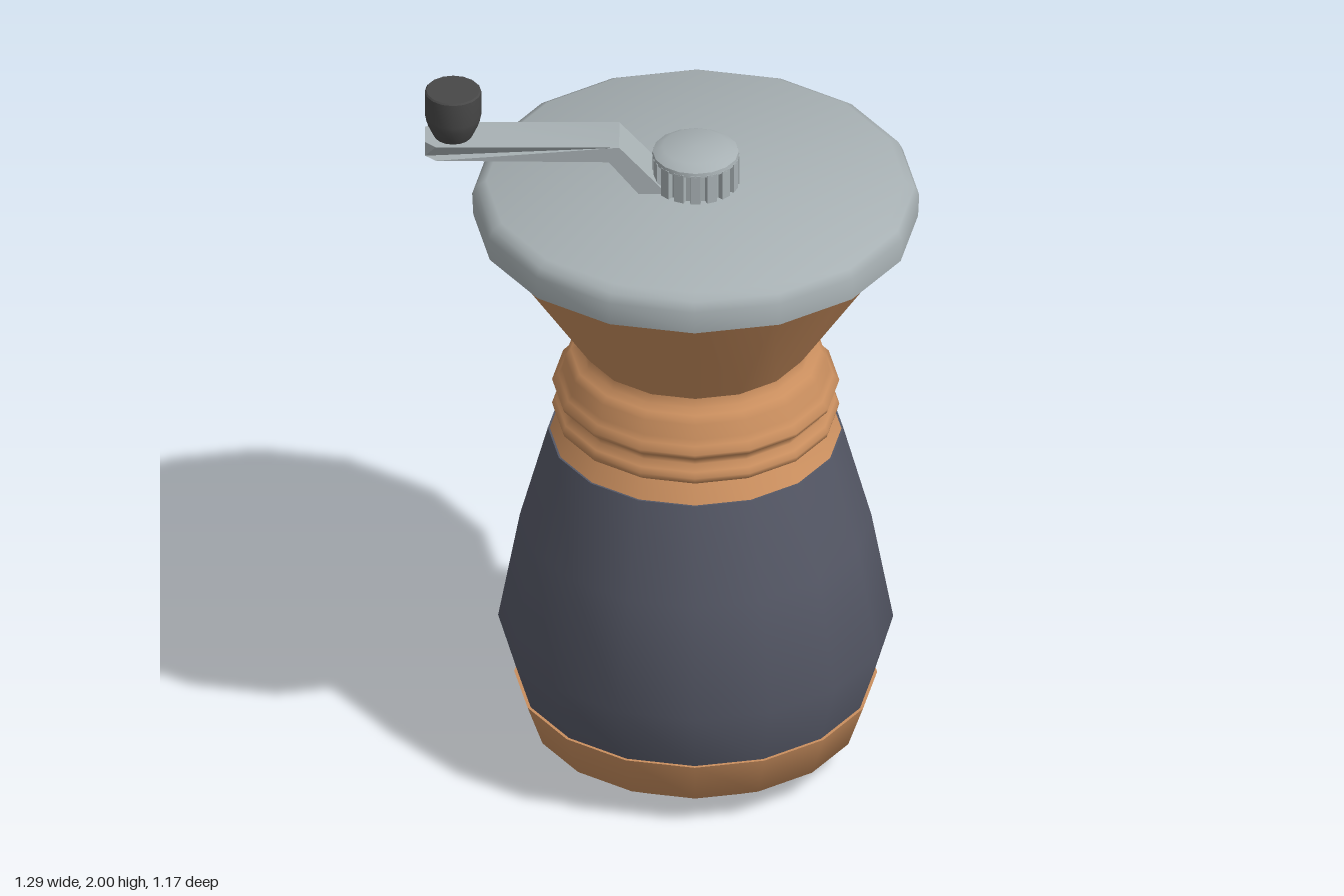
import * as THREE from 'three';
import { toCreasedNormals } from 'three/addons/utils/BufferGeometryUtils.js';

const AXIS_X = 0.06; // the grinder's own axis; the crank overhangs to -x
const WOOD = 0xc98e5e, DARK = 0x555866, METAL = 0xa8b1b4, BLACK = 0x484848;

export function createModel() {
  const root = new THREE.Group();

  function add(name, geometry, color, x = AXIS_X, y = 0, crease = 0.6) {
    const material = new THREE.MeshStandardMaterial({ color, side: THREE.DoubleSide });
    const mesh = new THREE.Mesh(toCreasedNormals(geometry, crease), material);
    mesh.name = name;
    mesh.position.set(x, y, 0);
    root.add(mesh);
    return mesh;
  }
  // Profiles are [radius, height] pairs running upwards
  const lathe = (profile, sides = 16) =>
    new THREE.LatheGeometry(profile.map(([r, y]) => new THREE.Vector2(r, y)), sides);

  // Wooden foot
  add('base', lathe([[0, 0], [0.3, 0], [0.433, 0.085], [0.475, 0.205], [0, 0.205]]), WOOD, AXIS_X, 0, 0.9);

  // Dark bulging body
  add('body', lathe([[0, 0.2], [0.465, 0.2], [0.517, 0.378], [0.46, 0.69], [0.387, 0.957], [0, 0.957]]), DARK);

  // Ribbed wooden neck
  add('neck', lathe([
    [0.383, 0.955], [0.362, 0.985], [0.35, 1.005], [0.372, 1.02], [0.376, 1.035], [0.367, 1.05],
    [0.35, 1.065], [0.352, 1.08], [0.372, 1.095], [0.376, 1.107], [0.36, 1.125], [0.35, 1.14],
    [0.342, 1.18], [0.327, 1.2], [0.305, 1.21], [0.3, 1.237],
  ]), WOOD, AXIS_X, 0, 1.2);

  // Flared funnel
  add('funnel', lathe([[0.3, 1.235], [0.545, 1.605]]), WOOD);

  // Metal lid with bevelled rim
  add('lid', lathe([
    [0, 1.6], [0.555, 1.6], [0.582, 1.615], [0.585, 1.68], [0.573, 1.705], [0.548, 1.72], [0, 1.72],
  ]), METAL, AXIS_X, 0, 0.75);

  // Knurled nut: a ring of shallow teeth under a bevelled cap
  const teeth = 16, gear = new THREE.Shape();
  for (let i = 0; i < teeth; i++) {
    [[-0.3, 0.115], [0.3, 0.115], [0.36, 0.1], [0.64, 0.1]].forEach(([t, r], k) => {
      const a = ((i + t) / teeth) * Math.PI * 2;
      gear[i + k ? 'lineTo' : 'moveTo'](r * Math.cos(a), r * Math.sin(a));
    });
  }
  const knurl = new THREE.ExtrudeGeometry(gear, { depth: 0.09, bevelEnabled: false });
  knurl.rotateX(-Math.PI / 2);
  add('nutTeeth', knurl, METAL, AXIS_X, 1.715, 0.3);
  add('nutCap', lathe([[0, 1.8], [0.115, 1.8], [0.113, 1.813], [0.087, 1.828], [0, 1.828]]), METAL, AXIS_X, 0, 0.8);

  // Cranked arm: side outline extruded across z, its tip narrowed
  const half = 0.063;
  const outline = [
    [-0.648, 1.82], [-0.62, 1.82], [-0.167, 1.817], [-0.09, 1.72], [0.02, 1.72],
    [-0.028, 1.735], [-0.14, 1.862], [-0.62, 1.862], [-0.648, 1.862],
  ].map(([x, y]) => new THREE.Vector2(x, y));
  const arm = new THREE.ExtrudeGeometry(new THREE.Shape(outline), { depth: half * 2, bevelEnabled: false });
  arm.translate(0, 0, -half);
  const p = arm.attributes.position;
  for (let i = 0; i < p.count; i++) if (p.getX(i) < -0.63) p.setZ(i, p.getZ(i) * 0.6);
  add('crankArm', arm, METAL, 0, 0, 0.4);

  // Handle knob
  add('crankKnob', lathe([
    [0, 1.855], [0.046, 1.855], [0.055, 1.872], [0.07, 1.905], [0.074, 1.925], [0.074, 1.996], [0.07, 2], [0, 2],
  ]), BLACK, -0.575, 0, 0.7);

  return root;
}
